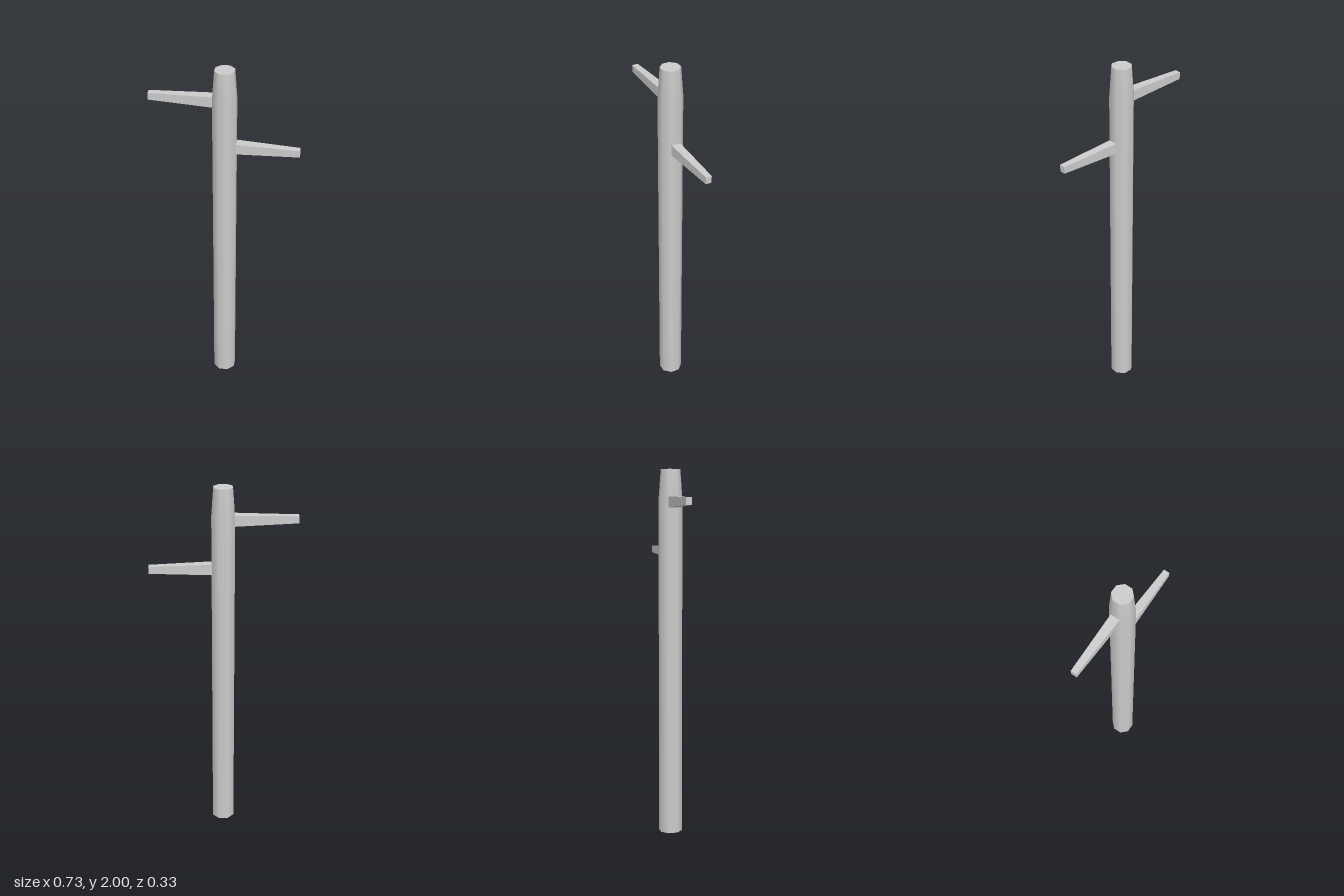
import * as THREE from 'three';

const SIDES = 8;
const RADIUS = 0.065;
const TOP_RADIUS = 0.053;
const FACE_ANGLE = Math.PI / SIDES;

export function createModel() {
  const model = new THREE.Group();
  model.name = 'peggedPost';
  const material = new THREE.MeshStandardMaterial({ color: 0xcccccc });
  const openMaterial = new THREE.MeshStandardMaterial({ color: 0xcccccc, side: THREE.DoubleSide });

  const add = (name, geometry, mat = material) => {
    const mesh = new THREE.Mesh(geometry, mat);
    mesh.name = name;
    model.add(mesh);
    return mesh;
  };

  // Eight-sided post, smooth shaded, tapering near the top and open below
  const profile = [[RADIUS, 0], [RADIUS, 1.84], [TOP_RADIUS, 2]].map(([r, y]) => new THREE.Vector2(r, y));
  add('post', new THREE.LatheGeometry(profile, SIDES), openMaterial);

  // Flat top of the post
  const cap = add('postTop', new THREE.CircleGeometry(TOP_RADIUS, SIDES));
  cap.rotation.x = -Math.PI / 2;
  cap.position.y = 2;

  // Peg growing from one face of the post, narrowing to a square-cut tip
  const addPeg = (name, y, angle) => {
    const start = RADIUS * Math.cos(FACE_ANGLE);
    const end = 0.389;
    const geometry = new THREE.BoxGeometry(end - start, 0.058, 0.05);
    geometry.translate((start + end) / 2, 0, 0);
    const pos = geometry.attributes.position;
    for (let i = 0; i < pos.count; i++) {
      if (pos.getX(i) > 0.2) {
        pos.setY(i, pos.getY(i) * 0.65);
        pos.setZ(i, pos.getZ(i) * 0.65);
      }
    }
    geometry.computeVertexNormals();
    const peg = add(name, geometry);
    peg.position.y = y;
    peg.rotation.y = angle;
  };
  addPeg('upperPeg', 1.827, FACE_ANGLE + Math.PI);
  addPeg('lowerPeg', 1.564, FACE_ANGLE);

  return model;
}
